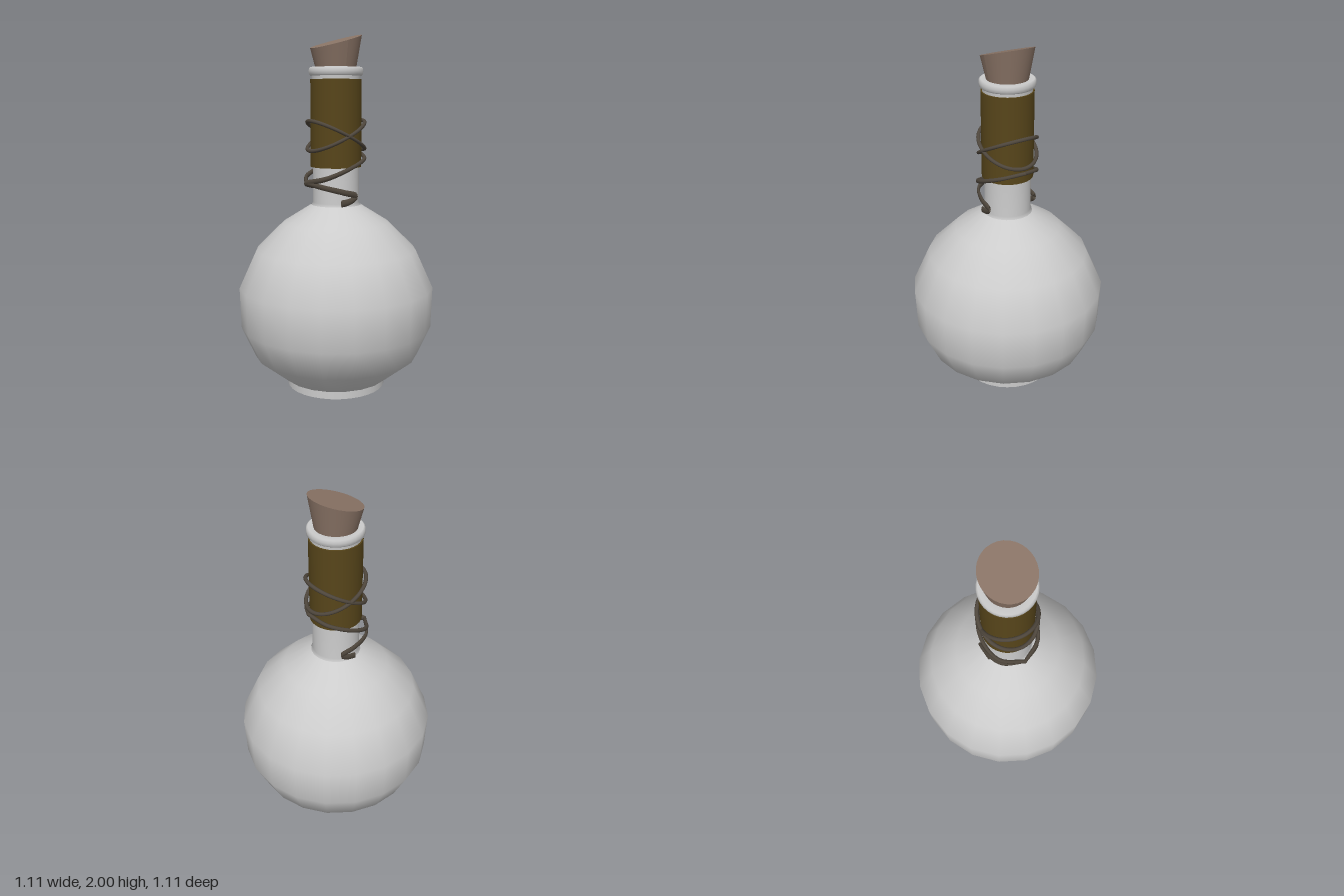
import * as THREE from 'three';
import { ParametricGeometry } from 'three/addons/geometries/ParametricGeometry.js';

const material = (color) => new THREE.MeshStandardMaterial({ color, side: THREE.DoubleSide });

export function createModel() {
  const model = new THREE.Group();
  const glass = material(0xcccccc);
  const leather = material(0x57451a);
  const corkMat = material(0x8a7466);
  const cordMat = material(0x4e463c);

  const add = (name, geometry, mat) => {
    const mesh = new THREE.Mesh(geometry, mat);
    mesh.name = name;
    model.add(mesh);
    return mesh;
  };
  const lathe = (points, sides) =>
    new THREE.LatheGeometry(points.map(([r, y]) => new THREE.Vector2(r, y)), sides);

  // Foot disc
  const foot = add('foot', new THREE.CylinderGeometry(0.28, 0.28, 0.05, 32), glass);
  foot.position.y = 0.025;

  // Round flask body running up into the neck
  add('body', lathe([
    [0.27, 0.04], [0.3, 0.05], [0.47, 0.185], [0.547, 0.355], [0.555, 0.585],
    [0.457, 0.8], [0.3, 0.955], [0.14, 1.055],
  ], 20), glass);
  add('neck', lathe([[0.14, 1.05], [0.13, 1.07], [0.13, 1.3], [0.13, 1.7], [0.137, 1.78]], 32), glass);

  // Rolled lip, closed on the inside
  add('lip', lathe([
    [0.1, 1.815], [0.142, 1.821], [0.15, 1.815], [0.152, 1.798], [0.15, 1.782], [0.142, 1.774], [0.12, 1.774],
  ].reverse(), 32), glass);

  // Leather sleeve: wall plus flat end rings
  const sleeve = new THREE.CylinderGeometry(0.143, 0.143, 0.485, 32);
  add('sleeve', sleeve, leather).position.y = 1.5125;

  // Tapered cork with a slanted top
  const cork = new THREE.CylinderGeometry(0.143, 0.11, 0.16, 32);
  const p = cork.attributes.position;
  for (let i = 0; i < p.count; i++) {
    if (p.getY(i) > 0) p.setY(i, p.getY(i) + p.getX(i) * 0.28);
  }
  cork.computeVertexNormals();
  add('cork', cork, corkMat).position.y = 1.88;

  // Cord swept along a path around the neck; section stands upright, facing outward
  const cord = (name, curve, thick, height, steps) => {
    const c = new THREE.Vector3();
    add(name, new ParametricGeometry((u, v, target) => {
      curve.getPoint(u, c);
      const a = -v * Math.PI * 2;
      const r = Math.hypot(c.x, c.z);
      const k = 1 + (thick * Math.cos(a)) / r;
      target.set(c.x * k, c.y + height(u) * Math.sin(a), c.z * k);
    }, steps, 8), cordMat);
  };

  // Two crossing tilted loops on the sleeve
  for (const tilt of [-1, 1]) {
    const points = [];
    for (let i = 0; i < 16; i++) {
      const a = (i / 16) * Math.PI * 2;
      points.push(new THREE.Vector3(
        0.162 * Math.cos(a), 1.445 + tilt * 0.083 * Math.cos(a), 0.157 * Math.sin(a)));
    }
    cord('cordLoop', new THREE.CatmullRomCurve3(points, true), 0.011, () => 0.011, 64);
  }

  // Lower loop, sinking to the right side and ending in a folded tail, front and back
  for (const side of [1, -1]) {
    const path = [
      [0.168, 1.335, 0], [0.115, 1.312, 0.115], [0, 1.266, 0.155], [-0.12, 1.216, 0.12], [-0.188, 1.185, 0],
    ];
    const tail = [
      [-0.188, 1.185, 0], [-0.13, 1.165, 0.11], [-0.03, 1.138, 0.15], [0.05, 1.113, 0.15],
      [0.01, 1.085, 0.145], [-0.04, 1.075, 0.14],
    ];
    const curve = (pts) => new THREE.CatmullRomCurve3(
      pts.map(([x, y, z]) => new THREE.Vector3(x, y, z * side)));
    cord('lowerCord', curve(path), 0.011, (u) => 0.01 + 0.006 * u, 40);
    cord('cordTail', curve(tail), 0.009, (u) => 0.014 + 0.006 * u, 40);
  }

  return model;
}
